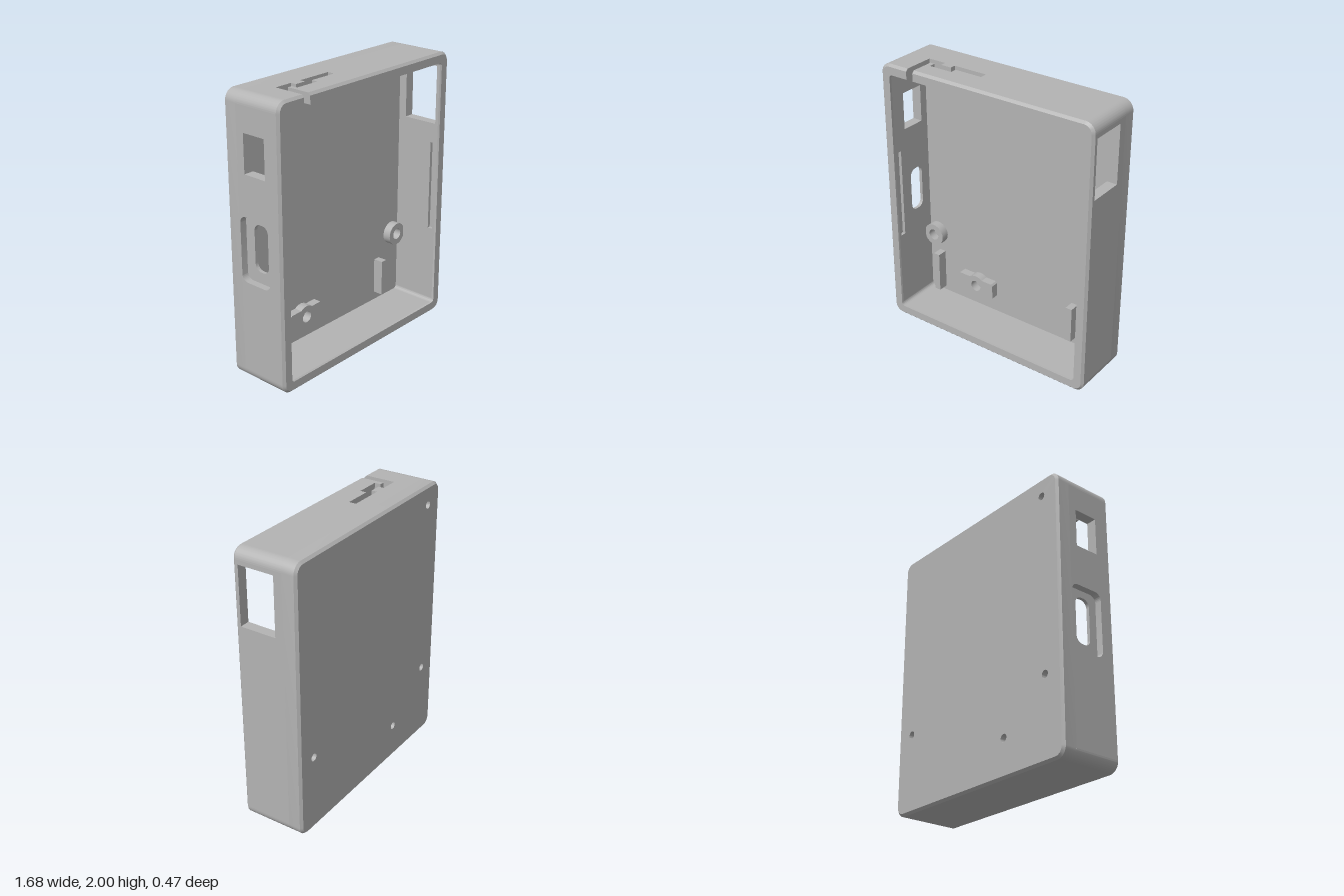
import * as THREE from 'three';
import { toCreasedNormals } from 'three/addons/utils/BufferGeometryUtils.js';

const W = 0.84, H = 2, T = 0.074;            // half width, height, wall thickness and corner radius
const BACK = -0.235, FLOOR = -0.13, FRONT = 0.235, CH = 0.017;
const LIP = FRONT - CH, FILLET = 0.025;
const SLOT = [-0.615, -0.562];               // wire slot, where it leaves through the front lip

// Rectangle with optional rounded corners, usable as outline or hole
function rect(x0, y0, x1, y1, r = 0) {
  const s = new THREE.Shape();
  if (!r) {
    s.moveTo(x0, y0).lineTo(x1, y0).lineTo(x1, y1).lineTo(x0, y1).closePath();
    return s;
  }
  s.absarc(x1 - r, y0 + r, r, -Math.PI / 2, 0);
  s.absarc(x1 - r, y1 - r, r, 0, Math.PI / 2);
  s.absarc(x0 + r, y1 - r, r, Math.PI / 2, Math.PI);
  s.absarc(x0 + r, y0 + r, r, Math.PI, Math.PI * 1.5);
  s.closePath();
  return s;
}
const circle = (x, y, r) => new THREE.Shape().absarc(x, y, r, 0, Math.PI * 2);

function extrude(shape, depth, holes = []) {
  if (holes.length) shape.holes.push(...holes);
  const g = new THREE.ExtrudeGeometry(shape, { depth, bevelEnabled: false, curveSegments: 12 });
  return toCreasedNormals(g, 0.6);
}

// Rounded rectangle as points, clockwise from x0 on the top edge round to x1
function contour(inset, r, z, x0 = 0, x1 = 0) {
  const hw = W - inset, top = H - inset, n = 10;
  const pts = [new THREE.Vector3(x0, top, z)];
  const centres = [[hw - r, top - r], [hw - r, inset + r], [r - hw, inset + r], [r - hw, top - r]];
  centres.forEach(([cx, cy], k) => {
    for (let i = 0; i <= n; i++) {
      const a = Math.PI / 2 * (1 - k - i / n);
      pts.push(new THREE.Vector3(cx + r * Math.cos(a), cy + r * Math.sin(a), z));
    }
  });
  pts.push(new THREE.Vector3(x1, top, z));
  return pts;
}

// Skin between successive contours, with optional end caps
function loft(rings, caps) {
  const n = rings[0].length, idx = [];
  for (let k = 0; k < rings.length - 1; k++) {
    for (let i = 0; i < n - 1; i++) {
      const a = k * n + i, b = a + 1, d = a + n, c = d + 1;
      idx.push(a, d, b, b, d, c);
    }
  }
  if (caps) {
    const e = n - 1;
    idx.push(0, 3 * n, 2 * n, 0, 2 * n, n);
    idx.push(e, 2 * n + e, 3 * n + e, e, n + e, 2 * n + e);
  }
  const g = new THREE.BufferGeometry().setFromPoints(rings.flat());
  g.setIndex(idx);
  return toCreasedNormals(g, 0.5);
}

export function createModel() {
  const model = new THREE.Group();
  model.name = 'enclosure';
  const grey = new THREE.MeshStandardMaterial({ color: 0xb3b3b3 });
  grey.name = 'grey plastic';
  const add = (name, geometry, x = 0, y = 0, z = 0) => {
    const m = new THREE.Mesh(geometry, grey);
    m.name = name;
    m.position.set(x, y, z);
    model.add(m);
    return m;
  };

  // Back plate with screw holes, and its chamfered edge
  const bosses = [[-0.69, 1.86], [-0.69, 0.57], [0.69, 0.57]];
  const screws = [...bosses, [-0.3, 0.265]];
  const plate = new THREE.Shape(contour(CH, T - CH, 0).slice(0, -1).map(p => new THREE.Vector2(p.x, p.y)));
  add('backPlate', extrude(plate, FLOOR - BACK, screws.map(([x, y]) => circle(x, y, 0.028))), 0, 0, BACK);
  add('backEdge', loft([contour(CH, T - CH, BACK), contour(0, T, BACK + CH), contour(0, T, FLOOR)]));

  // Chamfered front lip, interrupted by the wire slot
  const [s0, s1] = SLOT;
  add('frontLip', loft([
    contour(0, T, LIP, s1, s0), contour(CH, T - CH, FRONT, s1, s0),
    contour(T, FILLET, FRONT, s1, s0), contour(T, FILLET, LIP, s1, s0),
  ], true));

  // Corner posts, round outside and filleted inside
  const outer = new THREE.Shape().moveTo(0, 0).lineTo(T, 0).absarc(0, 0, T, 0, Math.PI / 2).closePath();
  const inner = new THREE.Shape().moveTo(0, 0).lineTo(-FILLET, 0)
    .absarc(-FILLET, -FILLET, FILLET, Math.PI / 2, 0, true).closePath();
  const post = extrude([outer, inner], LIP - FLOOR);
  [[1, 1], [-1, 1], [-1, -1], [1, -1]].forEach(([sx, sy], k) => {
    const m = add('cornerPost', post, sx * (W - T), sy > 0 ? H - T : T, FLOOR);
    m.rotation.z = k * Math.PI / 2;
  });

  // Side walls: layers drawn in (-z, y) and extruded along x
  const sideLayer = (name, x, depth, holes) => {
    const g = extrude(rect(-LIP, T, -FLOOR, H - T), depth, holes);
    add(name, g.rotateY(Math.PI / 2), x);
  };
  const groove = () => rect(-0.2, 0.665, -0.16, 1.33);
  const smallPort = () => rect(-0.11, 1.48, 0.07, 1.75);
  const largePort = () => rect(-0.195, 1.475, 0.07, 1.895);
  const skin = 0.05;
  sideLayer('rightWallOuter', -W, skin, [smallPort(), rect(-0.13, 0.73, 0.125, 1.19, 0.05)]);
  sideLayer('rightWallInner', -W + skin, T - skin, [smallPort(), rect(-0.07, 0.81, 0.05, 1.14, 0.05), groove()]);
  sideLayer('leftWallOuter', W - skin, skin, [largePort()]);
  sideLayer('leftWallInner', W - T, T - skin, [largePort(), groove()]);

  // Top wall with the stepped wire slot, and plain bottom wall, drawn in (x, -z)
  const slotPath = [
    [s0, LIP], [s0, -0.005], [-0.48, -0.005], [-0.48, 0.037], [-0.397, 0.037], [-0.397, -0.005],
    [-0.14, -0.005], [-0.14, 0.048], [-0.348, 0.048], [-0.348, 0.095], [-0.527, 0.095],
    [-0.527, 0.048], [s1, 0.048], [s1, LIP],
  ];
  const top = new THREE.Shape([
    [T - W, FLOOR], [T - W, LIP], ...slotPath, [W - T, LIP], [W - T, FLOOR],
  ].map(([x, z]) => new THREE.Vector2(x, -z)));
  add('topWall', extrude(top, T).rotateX(-Math.PI / 2), 0, H - T);
  add('bottomWall', extrude(rect(T - W, -LIP, W - T, -FLOOR), T).rotateX(-Math.PI / 2));

  // Screw bosses on the inner floor
  for (const [x, y] of bosses) {
    add('screwBoss', extrude(circle(0, 0, 0.084), 0.06, [circle(0, 0, 0.042)]), x, y, FLOOR);
  }

  // Winged screw mount
  const a = Math.asin(0.065 / 0.084);
  const wings = new THREE.Shape().moveTo(-0.157, -0.065)
    .absarc(0, 0, 0.084, Math.PI + a, Math.PI * 2 - a)
    .lineTo(0.14, -0.065).lineTo(0.152, -0.053).lineTo(0.152, 0.053).lineTo(0.14, 0.065)
    .absarc(0, 0, 0.084, a, Math.PI - a)
    .lineTo(-0.147, 0.065).lineTo(-0.159, 0.053).lineTo(-0.159, -0.053).lineTo(-0.147, -0.065);
  wings.curves[0].v1 && wings.curves[0].v1.set(-0.147, -0.065);
  add('wingedMount', extrude(wings, 0.06, [circle(0, 0, 0.042)]), -0.3, 0.265, FLOOR);

  // Upright support ribs
  for (const [x, y, h] of [[-0.658, 0.263, 0.31], [0.526, 0.272, 0.27]]) {
    add('supportRib', new THREE.BoxGeometry(0.05, h, 0.075), x, y, FLOOR + 0.0375);
  }
  return model;
}
